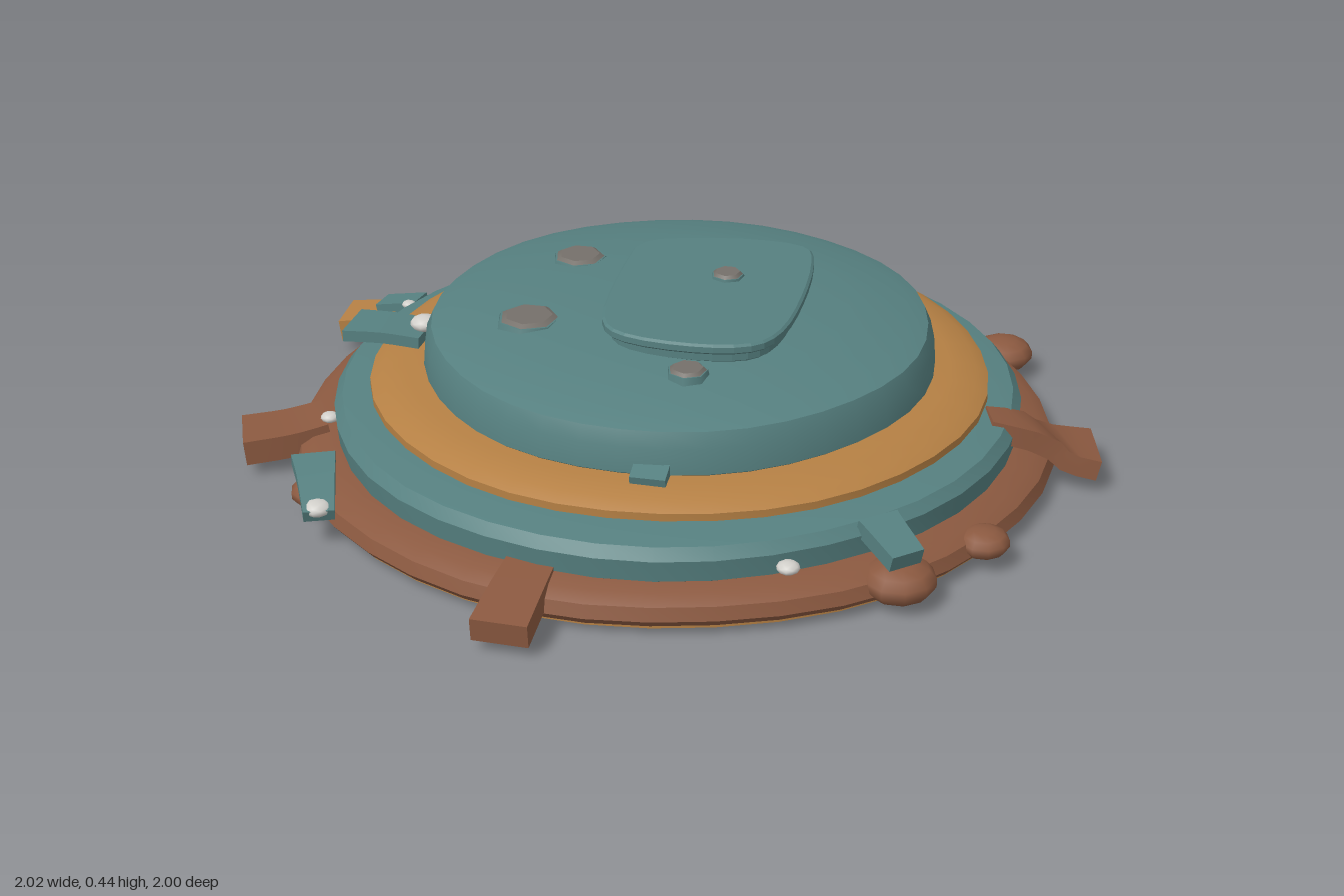
import * as THREE from 'three';
import { toCreasedNormals } from 'three/addons/utils/BufferGeometryUtils.js';

const mat = (name, color) => new THREE.MeshStandardMaterial({ name, color });

export function createModel() {
  const model = new THREE.Group();
  model.name = 'tieredDisc';
  const teal = mat('weathered teal', 0x568080);
  const orange = mat('ochre', 0xb58044);
  const brown = mat('rust brown', 0x8b5940);
  const white = mat('chipped white', 0xd2d0cb);
  const grey = mat('rivet grey brown', 0x75706a);

  const add = (name, geometry, material, x = 0, y = 0, z = 0) => {
    const mesh = new THREE.Mesh(geometry, material);
    mesh.name = name;
    mesh.position.set(x, y, z);
    model.add(mesh);
    return mesh;
  };

  // A turned tier with a slightly dented, hand-worn outline
  const tier = (name, profile, material, x, z, wobble, phase) => {
    const geo = new THREE.LatheGeometry(profile.map(p => new THREE.Vector2(...p)), 40);
    const p = geo.attributes.position;
    for (let i = 0; i < p.count; i++) {
      const a = Math.atan2(p.getZ(i), p.getX(i));
      const k = 1 + wobble * (Math.sin(3 * a + phase) + 0.6 * Math.sin(7 * a + 2 * phase));
      p.setXYZ(i, p.getX(i) * k, p.getY(i), p.getZ(i) * k);
    }
    return add(name, toCreasedNormals(geo, 0.6), material, x, 0, z);
  };

  tier('basePlate', [[0, 0.005], [0.85, 0.005], [0.88, 0.02], [0.88, 0.04], [0, 0.04]],
    orange, -0.01, -0.025, 0.004, 1);
  tier('baseRim', [[0.8, 0.025], [0.885, 0.027], [0.9, 0.045], [0.89, 0.075], [0.86, 0.093],
    [0.79, 0.105], [0.7, 0.105]], brown, -0.01, -0.025, 0.006, 1);
  tier('lowerTier', [[0.78, 0.08], [0.81, 0.1], [0.815, 0.15], [0.795, 0.175], [0.72, 0.187],
    [0.6, 0.19]], teal, -0.005, -0.02, 0.004, 2.2);
  tier('ochreRing', [[0.7, 0.175], [0.73, 0.19], [0.73, 0.208], [0.7, 0.225], [0.64, 0.236],
    [0.55, 0.238]], orange, 0, -0.035, 0.004, 0.5);
  tier('upperTier', [[0.58, 0.22], [0.605, 0.24], [0.6, 0.3], [0.585, 0.335], [0.54, 0.35],
    [0.4, 0.372], [0.25, 0.385], [0, 0.39]], teal, 0, -0.03, 0.005, 3);

  // Rounded cover plate, stacked in two layers
  const cover = (name, s, y, h) => {
    const shape = new THREE.Shape(new THREE.SplineCurve([
      [-0.15, -0.2], [-0.1, -0.265], [0.1, -0.31], [0.25, -0.295], [0.29, -0.2], [0.3, 0],
      [0.285, 0.18], [0.23, 0.27], [0.1, 0.3], [-0.06, 0.28], [-0.13, 0.2], [-0.15, 0], [-0.15, -0.2],
    ].map(([x, z]) => new THREE.Vector2(0.075 + (x - 0.075) * s, -z * s))).getPoints(36));
    const geo = new THREE.ExtrudeGeometry(shape, {
      depth: h - 0.01, bevelEnabled: true, bevelSize: 0.006, bevelThickness: 0.005,
      bevelOffset: -0.006, bevelSegments: 1,
    });
    geo.rotateX(-Math.PI / 2);
    add(name, geo, teal, 0, y + 0.005, 0);
  };
  cover('coverPlateLower', 0.93, 0.375, 0.033);
  cover('coverPlateUpper', 1, 0.404, 0.024);

  // Hexagonal rivets: teal collar with a grey head
  for (const [x, y, z, r] of [[-0.29, 0.372, -0.22, 0.07], [-0.32, 0.37, 0.14, 0.08], [0.1, 0.375, 0.34, 0.05],
    [0.105, 0.424, -0.08, 0.042]]) {
    add('rivetCollar', new THREE.CylinderGeometry(r * 0.92, r, 0.02, 7), teal, x, y, z);
    add('rivetHead', new THREE.CylinderGeometry(r * 0.7, r * 0.88, 0.008, 7), grey, x, y + 0.013, z);
  }

  // Flat strap swept along a path
  const strap = (name, pts, width, thick, material, flare = 1) => {
    const curve = new THREE.CatmullRomCurve3(pts.map(p => new THREE.Vector3(...p)));
    const geo = new THREE.BoxGeometry(1, 1, 1, 1, 1, 6);
    const p = geo.attributes.position;
    const up = new THREE.Vector3(0, 1, 0);
    for (let i = 0; i < p.count; i++) {
      const u = p.getZ(i) + 0.5;
      const t = curve.getTangent(u);
      const side = new THREE.Vector3().crossVectors(up, t).normalize();
      const lift = new THREE.Vector3().crossVectors(t, side);
      const v = curve.getPoint(u)
        .addScaledVector(side, p.getX(i) * width * (1 + (flare - 1) * u))
        .addScaledVector(lift, p.getY(i) * thick);
      p.setXYZ(i, v.x, v.y, v.z);
    }
    add(name, toCreasedNormals(geo, 0.6), material);
  };

  // Tabs around the rim
  strap('frontTab', [[-0.15, 0.085, 0.76], [-0.155, 0.075, 0.86], [-0.16, 0.06, 0.99]], 0.11, 0.055, brown, 1.15);
  strap('backTabTop', [[0.14, 0.1, -0.79], [0.14, 0.088, -0.88], [0.15, 0.08, -1]], 0.14, 0.022, brown, 0.95);
  strap('backTabBase', [[0.14, 0.055, -0.82], [0.15, 0.053, -0.995]], 0.125, 0.045, orange);
  strap('leftTab', [[0.74, 0.165, 0.03], [0.83, 0.14, 0], [0.9, 0.085, -0.04], [0.985, 0.065, -0.06]], 0.08, 0.05, brown, 2.1);
  strap('rightFrontTab', [[-0.8, 0.09, 0.22], [-0.88, 0.075, 0.26], [-0.98, 0.065, 0.3]], 0.13, 0.06, brown, 1.1);
  strap('rightBackTab', [[-0.82, 0.08, -0.4], [-0.96, 0.06, -0.395]], 0.11, 0.055, orange, 1.2);
  // Swollen parts of the rim
  for (const [x, z, r] of [[0.72, -0.56, 0.075], [0.62, 0.6, 0.085], [0.78, 0.4, 0.06], [-0.73, 0.5, 0.06]]) {
    add('rimSwelling', new THREE.SphereGeometry(r, 10, 7), brown, x, 0.065, z).scale.y = 0.55;
  }

  // Bent teal strips that peel off the tiers
  strap('backStrip', [[-0.58, 0.14, -0.66], [-0.55, 0.13, -0.74], [-0.45, 0.11, -0.84]], 0.12, 0.03, teal, 0.6);
  strap('sideStrip', [[-0.61, 0.25, 0.02], [-0.7, 0.255, 0.015], [-0.8, 0.25, 0.01]], 0.11, 0.028, teal, 1.15);
  strap('frontStrip', [[-0.74, 0.14, 0.48], [-0.71, 0.125, 0.55], [-0.67, 0.09, 0.65]], 0.1, 0.03, teal, 0.7);
  strap('ringClip', [[0.07, 0.255, 0.53], [0.07, 0.235, 0.61]], 0.08, 0.035, teal);
  strap('cornerClip', [[0.56, 0.165, 0.54], [0.64, 0.13, 0.63]], 0.1, 0.04, teal, 0.8);
  strap('rimClip', [[-0.76, 0.13, -0.4], [-0.87, 0.105, -0.42]], 0.07, 0.025, teal);

  // Bare white chips
  for (const [x, y, z, r] of [[-0.46, 0.115, -0.83, 0.04], [-0.61, 0.285, 0.03, 0.035], [-0.68, 0.1, 0.63, 0.034],
    [-0.38, 0.28, -0.51, 0.033], [-0.85, 0.11, -0.31, 0.033], [0.4, 0.135, 0.72, 0.026], [-0.77, 0.14, 0.28, 0.022],
    [-0.78, 0.14, -0.36, 0.018]]) {
    add('whiteChip', new THREE.IcosahedronGeometry(r, 1), white, x, y, z).scale.y = 0.55;
  }
  return model;
}
